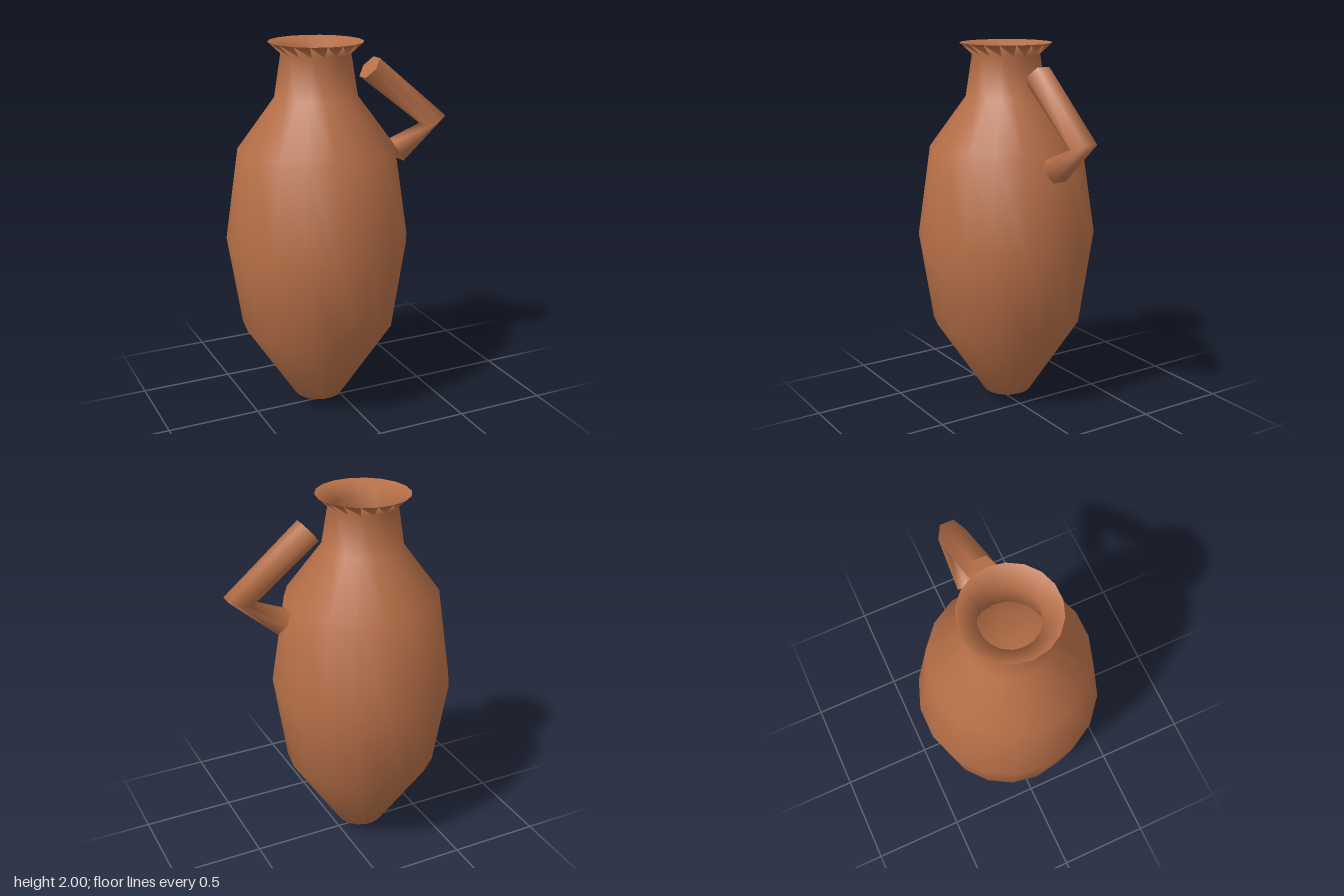
import * as THREE from 'three';

// Hexagonal bar lofted through rings; each ring is [x, y, angle of its outer side]
function barGeometry(rings, radius, sides = 6) {
  const pos = [], idx = [];
  const addRing = ([x, y, angle]) => {
    const start = pos.length / 3;
    for (let j = 0; j < sides; j++) {
      const a = ((j + 0.5) / sides) * Math.PI * 2;
      const out = Math.cos(a) * radius;
      pos.push(x + out * Math.cos(angle), y + out * Math.sin(angle), Math.sin(a) * radius);
    }
    return start;
  };
  const starts = rings.map(addRing);
  for (let i = 0; i < starts.length - 1; i++) {
    for (let j = 0; j < sides; j++) {
      const k = (j + 1) % sides;
      const a = starts[i] + j, b = starts[i] + k;
      const c = starts[i + 1] + k, d = starts[i + 1] + j;
      idx.push(a, b, c, a, c, d);
    }
  }
  // Flat end caps with their own vertices, so their edges stay sharp
  const first = addRing(rings[0]);
  const last = addRing(rings[rings.length - 1]);
  for (let j = 1; j < sides - 1; j++) {
    idx.push(first, first + j + 1, first + j, last, last + j, last + j + 1);
  }
  const geo = new THREE.BufferGeometry();
  geo.setAttribute('position', new THREE.Float32BufferAttribute(pos, 3));
  geo.setIndex(idx);
  geo.computeVertexNormals();
  return geo;
}

export function createModel() {
  const model = new THREE.Group();
  model.name = 'jug';
  const clay = new THREE.MeshStandardMaterial({ color: 0xb87048 });
  clay.name = 'terracotta';

  // Hollow body: up the outer wall, over the rim, down the inner wall
  const profile = [
    [0, 0], [0.13, 0.06], [0.41, 0.49], [0.482, 0.97], [0.41, 1.455],
    [0.215, 1.72], [0.18, 1.94], [0.245, 2.0],
    [0.15, 1.93], [0.185, 1.7], [0.38, 1.44], [0.455, 0.97],
    [0.38, 0.5], [0.11, 0.09], [0, 0.04],
  ].map(([r, y]) => new THREE.Vector2(r, y));
  const body = new THREE.Mesh(new THREE.LatheGeometry(profile, 18, Math.PI / 2), clay);
  body.name = 'body';
  body.position.x = -0.135;
  model.add(body);

  // Bent handle with a single elbow
  const handle = new THREE.Mesh(barGeometry([
    [0.17, 1.848, Math.atan2(0.095, 0.08)],
    [0.555, 1.538, Math.atan2(0.045, 0.12)],
    [0.325, 1.388, Math.atan2(-0.105, 0.07)],
  ], 0.074), clay);
  handle.name = 'handle';
  model.add(handle);

  return model;
}
